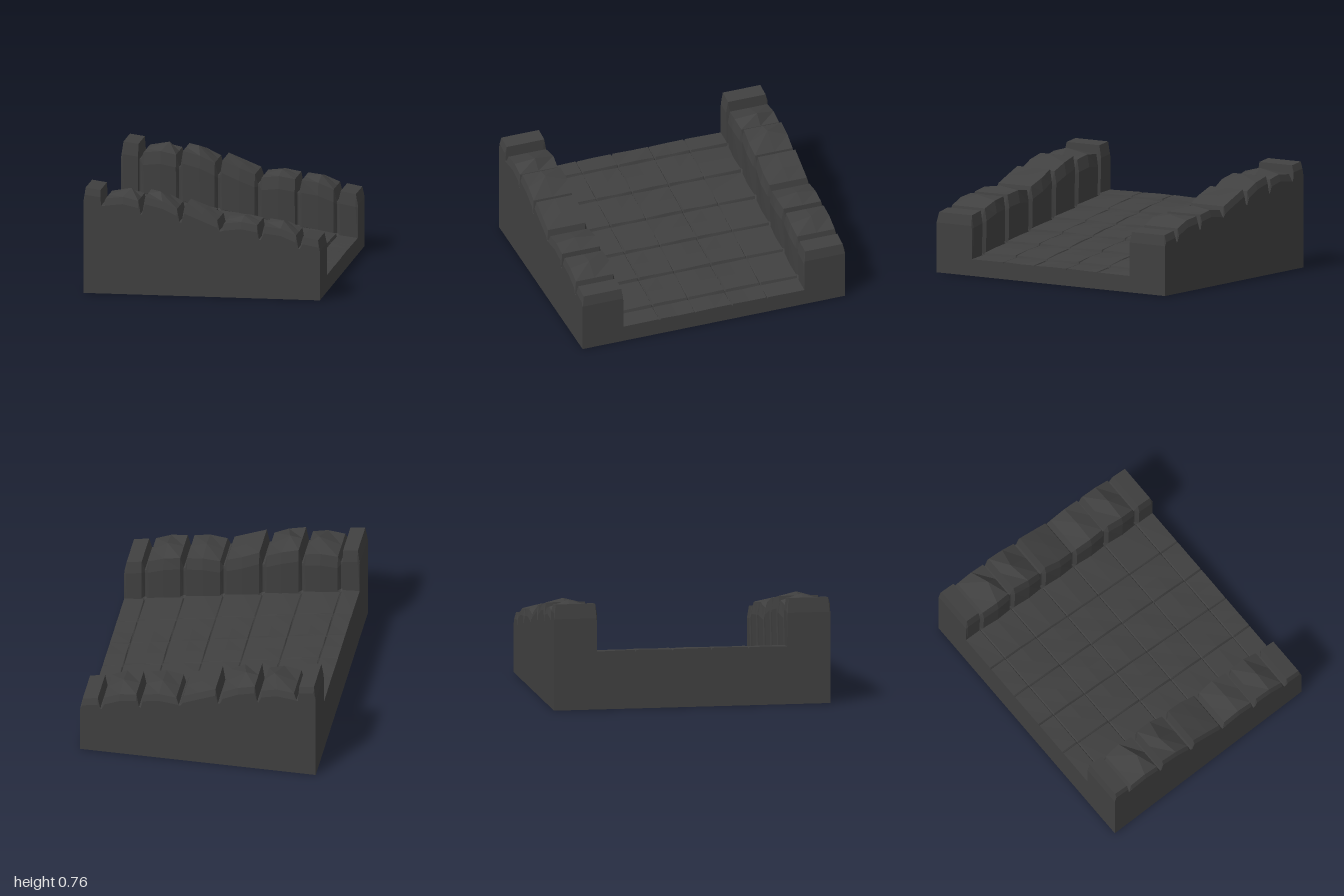
import * as THREE from 'three';

const material = new THREE.MeshStandardMaterial({ color: 0x404040, flatShading: true });
const END = 0.855;
const GROOVES = [-0.72, -0.435, -0.15, 0.135, 0.42, 0.705];
const slope = (x) => 0.272 - 0.182 * x;

// Skin closed rings of [x, y, z] points that run along +x, with both ends capped
function loft(rings, name) {
  const flat = (ring) => ring.map((p) => new THREE.Vector2(p[1], p[2]));
  if (THREE.ShapeUtils.area(flat(rings[0])) < 0) rings.forEach((r) => r.reverse());
  const pos = [];
  const tri = (a, b, c) => pos.push(...a, ...b, ...c);
  for (let k = 0; k < rings.length - 1; k++) {
    const a = rings[k], b = rings[k + 1];
    for (let i = 0; i < a.length; i++) {
      const j = (i + 1) % a.length;
      tri(a[i], a[j], b[j]);
      tri(a[i], b[j], b[i]);
    }
  }
  const first = rings[0], last = rings[rings.length - 1];
  for (const [a, b, c] of THREE.ShapeUtils.triangulateShape(flat(first), [])) tri(first[a], first[c], first[b]);
  for (const [a, b, c] of THREE.ShapeUtils.triangulateShape(flat(last), [])) tri(last[a], last[b], last[c]);
  const geometry = new THREE.BufferGeometry();
  geometry.setAttribute('position', new THREE.Float32BufferAttribute(pos, 3));
  geometry.computeVertexNormals();
  const mesh = new THREE.Mesh(geometry, material);
  mesh.name = name;
  return mesh;
}

// Sloping floor of paving stones, stepped slightly at every cross joint
function pavedRamp() {
  const bounds = [-END, ...GROOVES, END];
  const stations = []; // [x, height offset]
  for (let i = 0; i < 7; i++) {
    const a = bounds[i], b = bounds[i + 1];
    const l = i === 0 ? a : a + 0.008, r = i === 6 ? b : b - 0.008;
    stations.push([l, -0.005]);
    if (i > 0 && i < 6) stations.push([(a + b) / 2, 0.005]);
    stations.push([r, 0.006]);
    if (i < 6) stations.push([b, -0.014]);
  }
  const joints = [-0.41, -0.14, 0.14, 0.41];
  const rows = [[-0.69, -0.004]]; // [z, height offset]
  joints.forEach((z, i) => {
    rows.push([z - 0.007, 0], [z, -0.013], [z + 0.007, 0]);
    if (i < 3) rows.push([z + 0.135, 0.004]);
  });
  rows.push([0.69, -0.004]);
  const rings = stations.map(([x, dx], k) => {
    const top = rows.map(([z, dz], i) => {
      const wobble = 0.0025 * Math.sin(k * 1.7 + i * 2.3);
      return [x, slope(x) + Math.min(dx, dx + dz) + wobble, z];
    });
    return [[x, 0, -0.69], ...top, [x, 0, 0.69]];
  });
  return loft(rings, 'pavedRamp');
}

// Wall stones: [x, edge height, ridge x, ridge height, kind]
const WALL = [
  [-0.855, 0.66, -0.855, 0.66, 'end'],
  [-0.84, 0.765, -0.84, 0.765, 'edge'], [-0.732, 0.75, -0.732, 0.75, 'edge'],
  [-0.725, 0.64, -0.725, 0.64, 'groove'], [-0.715, 0.64, -0.715, 0.64, 'groove'],
  [-0.695, 0.69, -0.695, 0.69, 'edge'], [-0.57, 0.705, -0.53, 0.745, 'peak'], [-0.46, 0.68, -0.46, 0.68, 'edge'],
  [-0.44, 0.59, -0.44, 0.59, 'groove'], [-0.43, 0.59, -0.43, 0.59, 'groove'],
  [-0.41, 0.71, -0.41, 0.71, 'edge'], [-0.285, 0.68, -0.32, 0.725, 'peak'], [-0.18, 0.63, -0.18, 0.63, 'edge'],
  [-0.16, 0.54, -0.16, 0.54, 'groove'], [-0.145, 0.54, -0.145, 0.54, 'groove'],
  [-0.125, 0.65, -0.125, 0.65, 'edge'], [0, 0.6, 0, 0.607, 'peak'], [0.11, 0.555, 0.11, 0.555, 'edge'],
  [0.13, 0.485, 0.13, 0.485, 'groove'], [0.14, 0.485, 0.14, 0.485, 'groove'],
  [0.16, 0.535, 0.16, 0.535, 'edge'], [0.285, 0.55, 0.285, 0.57, 'peak'], [0.4, 0.53, 0.4, 0.53, 'edge'],
  [0.415, 0.43, 0.415, 0.43, 'groove'], [0.428, 0.43, 0.428, 0.43, 'groove'],
  [0.45, 0.525, 0.45, 0.525, 'edge'], [0.57, 0.51, 0.57, 0.54, 'peak'], [0.68, 0.465, 0.68, 0.465, 'edge'],
  [0.7, 0.375, 0.7, 0.375, 'groove'], [0.71, 0.375, 0.71, 0.375, 'groove'],
  [0.73, 0.455, 0.73, 0.455, 'edge'], [0.84, 0.435, 0.84, 0.435, 'edge'],
  [0.855, 0.36, 0.855, 0.36, 'end'],
];
// How far the inner face sits from the middle: near the floor, at the bulge, at the top
const INNER = {
  end: [0.69, 0.69, 0.692], edge: [0.69, 0.685, 0.7],
  peak: [0.682, 0.673, 0.69], groove: [0.712, 0.712, 0.714],
};

function stoneWall(side, name) {
  const rings = WALL.map(([x, h, rx, rh, kind]) => {
    const [foot, bulge, top] = INNER[kind];
    const soft = kind === 'edge' || kind === 'peak';
    const drop = soft ? 0.05 : 0.005;
    const floor = slope(x);
    return [
      [x, 0, 0.69], [x, floor - 0.02, 0.69], [x, floor, foot],
      [x, h - (soft ? 0.09 : 0.02), bulge], [x, h, top],
      [rx, rh, 0.845],
      [x, h, soft ? 0.986 : 0.996], [x, h - drop, 1], [x, 0, 1],
    ].map(([px, py, pz]) => [px, py, pz * side]);
  });
  return loft(rings, name);
}

export function createModel() {
  const model = new THREE.Group();
  model.name = 'walledRamp';
  model.add(pavedRamp(), stoneWall(1, 'frontWall'), stoneWall(-1, 'backWall'));
  return model;
}
